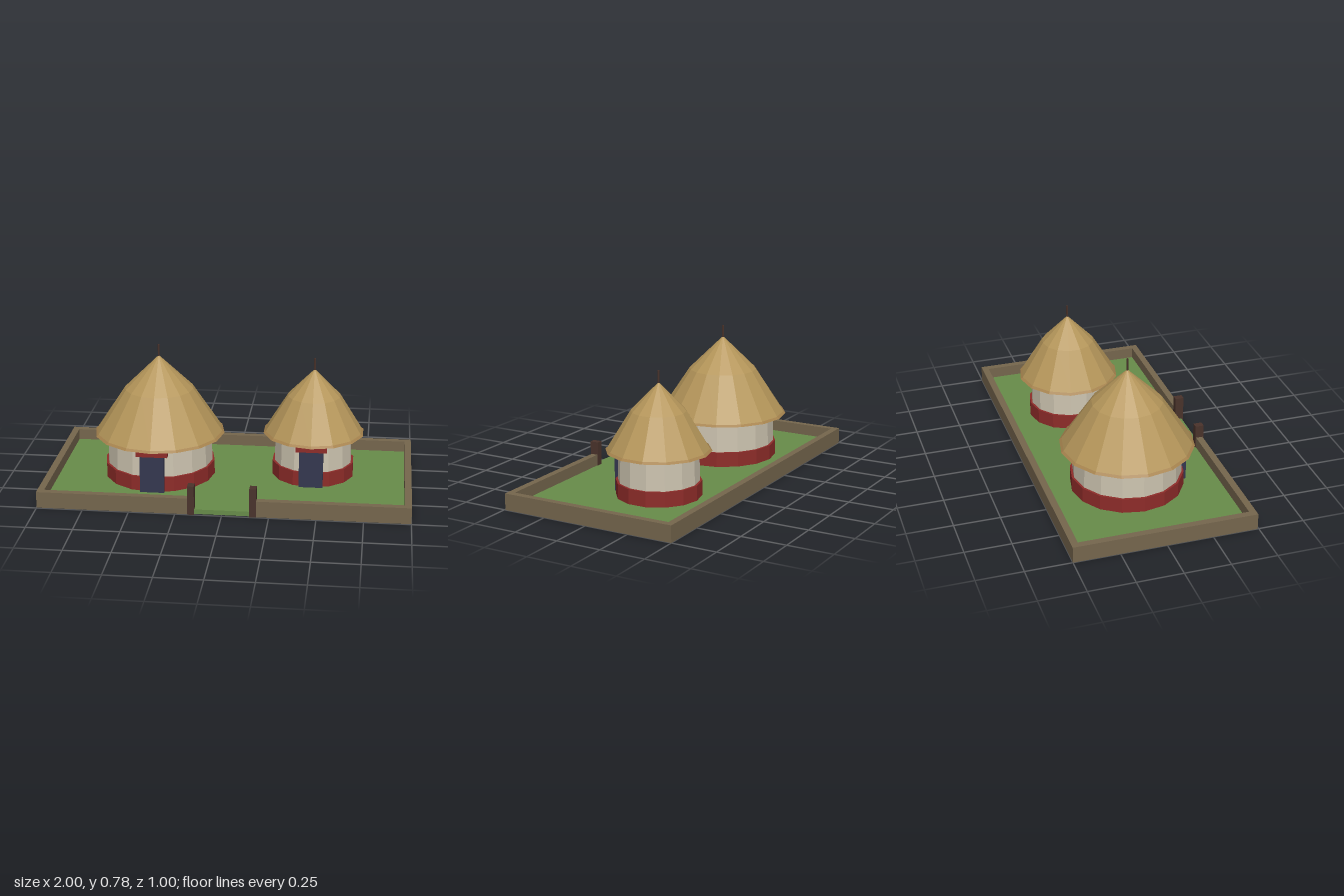
import * as THREE from 'three';

const flat = (name, color) => {
  const m = new THREE.MeshStandardMaterial({ color });
  m.name = name;
  return m;
};

export function createModel() {
  const grass = flat('grass', 0x678c49);
  const earth = flat('earthWall', 0x75664d);
  const wood = flat('darkWood', 0x4a332b);
  const thatch = flat('thatch', 0xb5965a);
  const rim = flat('thatchRim', 0xa5824d);
  const plaster = flat('plaster', 0xcdc4b0);
  const red = flat('redTrim', 0x8e2c29);
  const blue = flat('doorBlue', 0x34374f);

  const model = new THREE.Group();
  model.name = 'compound';

  const add = (parent, name, geometry, material) => {
    const mesh = new THREE.Mesh(geometry, material);
    mesh.name = name;
    parent.add(mesh);
    return mesh;
  };
  // Box given by its limits on each axis
  const box = (parent, name, material, [x0, x1], [y0, y1], [z0, z1]) => {
    const mesh = add(parent, name, new THREE.BoxGeometry(x1 - x0, y1 - y0, z1 - z0), material);
    mesh.position.set((x0 + x1) / 2, (y0 + y1) / 2, (z0 + z1) / 2);
  };
  // Faceted surface of revolution from [radius, height] points, bottom to top
  const turned = (parent, name, material, sides, profile) => {
    const points = profile.map(([r, y]) => new THREE.Vector2(r, y));
    const geometry = new THREE.LatheGeometry(points, sides).toNonIndexed();
    geometry.computeVertexNormals();
    add(parent, name, geometry, material);
  };

  // Yard and enclosing wall, open at the gate
  const wallY = [0, 0.09];
  box(model, 'yard', grass, [-0.97, 0.97], [0.002, 0.028], [-0.47, 0.49]);
  box(model, 'backWall', earth, [-1, 1], wallY, [-0.5, -0.463]);
  for (const s of [-1, 1]) {
    const span = (a, b) => [Math.min(s * a, s * b), Math.max(s * a, s * b)];
    box(model, 'sideWall', earth, span(0.963, 1), wallY, [-0.463, 0.494]);
    box(model, 'frontWall', earth, span(0.17, 0.963), wallY, [0.457, 0.494]);
    box(model, 'gatePost', wood, span(0.147, 0.183), [0, 0.162], [0.452, 0.5]);
  }

  // Round hut with a two-slope thatched roof
  const hut = (name, x, z, o) => {
    const g = new THREE.Group();
    g.name = name;
    g.position.set(x, 0, z);
    model.add(g);
    const { sides, wall, eave, bend, bendY, apexY, poleY, doorZ } = o;

    turned(g, 'base', red, sides, [[wall + 0.012, 0.028], [wall + 0.012, 0.11], [wall - 0.02, 0.11]]);
    turned(g, 'wall', plaster, sides, [[wall, 0.1], [wall - 0.004, 0.27]]);
    turned(g, 'topBand', red, sides, [[wall - 0.01, 0.26], [wall + 0.003, 0.26], [wall + 0.003, 0.29]]);

    turned(g, 'roof', thatch, sides, [[eave - 0.013, 0.284], [bend, bendY], [0, apexY]]);
    turned(g, 'roofRim', rim, sides, [[eave, 0.273], [eave - 0.013, 0.284]]);
    turned(g, 'roofUnderside', thatch, sides, [[0, 0.273], [eave, 0.273]]);

    const poleBase = apexY - 0.03;
    const pole = add(g, 'roofPole',
      new THREE.CylinderGeometry(0.0055, 0.0055, poleY - poleBase, 6), wood);
    pole.position.y = (poleY + poleBase) / 2;

    box(g, 'door', blue, [-0.066, 0.066], [0.028, 0.237], [doorZ - 0.035, doorZ]);
    box(g, 'lintel', red, [-0.086, 0.086], [0.234, 0.263], [doorZ - 0.031, doorZ + 0.003]);
  };

  hut('largeHut', -0.405, -0.025, {
    sides: 16, wall: 0.295, eave: 0.363, bend: 0.19, bendY: 0.528,
    apexY: 0.715, poleY: 0.777, doorZ: 0.315,
  });
  hut('smallHut', 0.45, -0.105, {
    sides: 14, wall: 0.218, eave: 0.283, bend: 0.147, bendY: 0.486,
    apexY: 0.638, poleY: 0.7, doorZ: 0.234,
  });

  return model;
}
